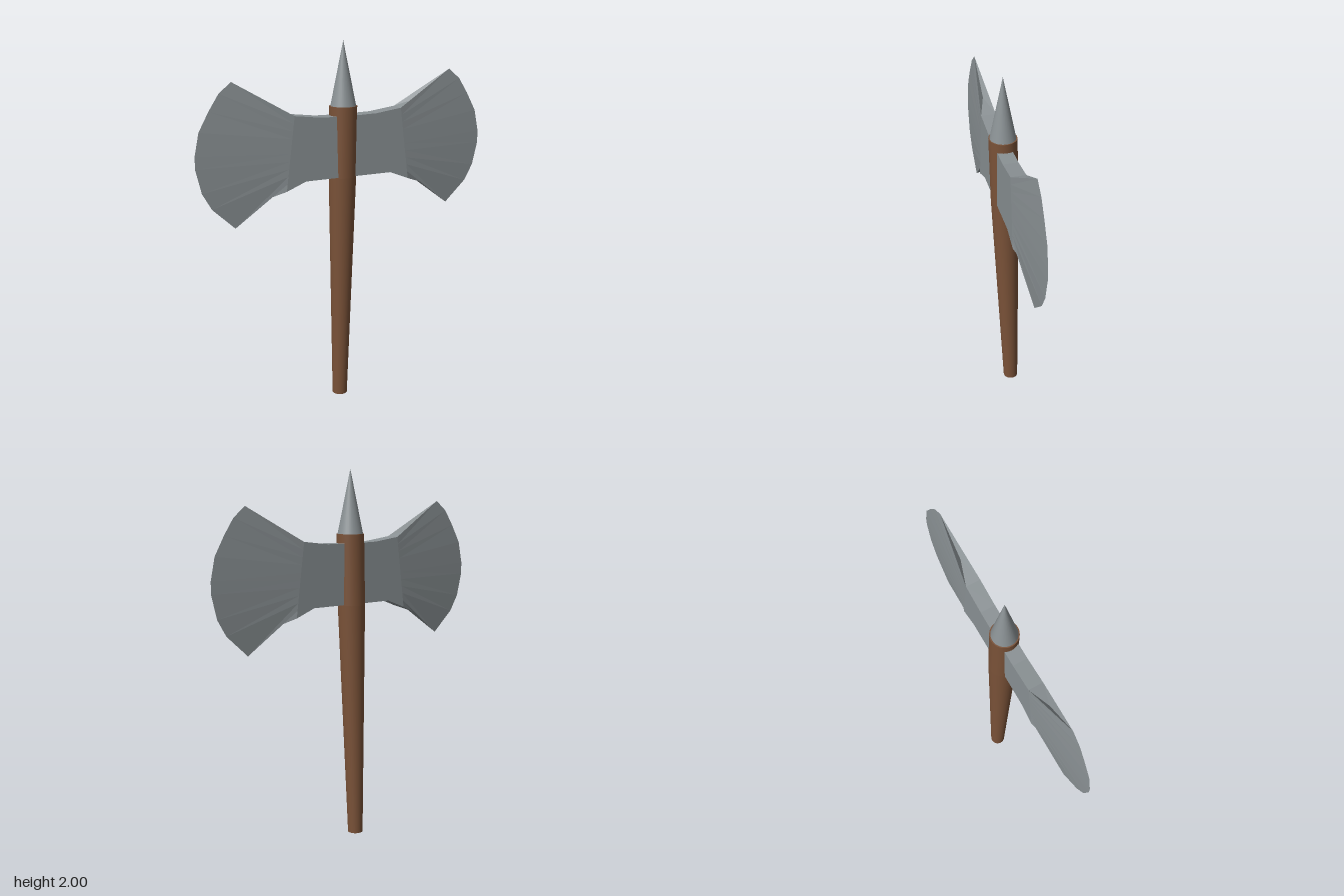
import * as THREE from 'three';

const wood = new THREE.MeshStandardMaterial({ color: 0x7a5238 });
wood.name = 'brownWood';
const metal = new THREE.MeshStandardMaterial({ color: 0x8b9295 });
metal.name = 'greyMetal';

// Round shaft segment between two heights whose centre line drifts in x and z
function leaningShaft(name, low, high, material) {
  const h = high.y - low.y;
  const geo = new THREE.CylinderGeometry(high.r, low.r, h, 32);
  const p = geo.attributes.position;
  for (let i = 0; i < p.count; i++) {
    const t = p.getY(i) / h + 0.5;
    p.setXYZ(i,
      p.getX(i) + THREE.MathUtils.lerp(low.x, high.x, t),
      low.y + h * t,
      p.getZ(i) + THREE.MathUtils.lerp(low.z, high.z, t));
  }
  const mesh = new THREE.Mesh(geo, material);
  mesh.name = name;
  return mesh;
}

// Blade half: a thick core plate that tapers to a sharp edge all round
const MID_Z = 0.01, HALF = 0.04;
const CORE_TOP = [[0, 1.61], [0.16, 1.613], [0.31, 1.632]];
const CORE_BOTTOM = [[0, 1.284], [0.25, 1.284], [0.36, 1.24]];
const EDGE = [
  [0.437, 1.67], [0.633, 1.82], [0.70, 1.765], [0.755, 1.68], [0.81, 1.58], [0.835, 1.46],
  [0.835, 1.395], [0.805, 1.268], [0.755, 1.18], [0.633, 1.066], [0.465, 1.20],
];

function bladeGeometry(side) {
  const out = [];
  const tri = (a, b, c) => {
    // mirrored triangles swap their winding to keep facing outwards
    for (const v of side > 0 ? [a, b, c] : [a, c, b]) out.push(v[0] * side, v[1], v[2]);
  };
  const at = ([x, y], dz) => [x, y, MID_Z + dz];
  const topEnd = CORE_TOP[2], bottomEnd = CORE_BOTTOM[2];
  const n = EDGE.length - 1;
  const inner = EDGE.map((_, i) => [
    THREE.MathUtils.lerp(topEnd[0], bottomEnd[0], i / n),
    THREE.MathUtils.lerp(topEnd[1], bottomEnd[1], i / n),
  ]);

  for (const s of [1, -1]) {
    const face = (a, b, c) => (s > 0 ? tri(a, b, c) : tri(a, c, b));
    // flat core
    for (let i = 0; i < 2; i++) {
      const a = at(CORE_TOP[i], s * HALF), b = at(CORE_TOP[i + 1], s * HALF);
      const c = at(CORE_BOTTOM[i], s * HALF), d = at(CORE_BOTTOM[i + 1], s * HALF);
      face(a, c, d);
      face(a, d, b);
    }
    // taper to the cutting edge
    for (let i = 0; i < n; i++) {
      const a = at(inner[i], s * HALF), b = at(inner[i + 1], s * HALF);
      const c = at(EDGE[i], 0), d = at(EDGE[i + 1], 0);
      face(a, b, d);
      face(a, d, c);
    }
  }

  // upper and lower rims, each closing to a point
  for (const [rim, tip, up] of [[CORE_TOP, EDGE[0], true], [CORE_BOTTOM, EDGE[n], false]]) {
    const face = (a, b, c) => (up ? tri(a, b, c) : tri(a, c, b));
    for (let i = 0; i < 2; i++) {
      const a = at(rim[i], HALF), b = at(rim[i + 1], HALF);
      const c = at(rim[i], -HALF), d = at(rim[i + 1], -HALF);
      face(a, b, d);
      face(a, d, c);
    }
    face(at(rim[2], HALF), at(tip, 0), at(rim[2], -HALF));
  }

  const geo = new THREE.BufferGeometry();
  geo.setAttribute('position', new THREE.Float32BufferAttribute(out, 3));
  geo.computeVertexNormals();
  return geo;
}

export function createModel() {
  const axe = new THREE.Group();
  axe.name = 'doubleAxe';

  // Handle: slender tapering grip and a straighter head section
  const foot = { x: -0.014, y: 0, z: -0.04, r: 0.041 };
  const neck = { x: -0.013, y: 1.28, z: -0.004, r: 0.074 };
  const crown = { x: -0.013, y: 1.66, z: 0.006, r: 0.074 };
  axe.add(leaningShaft('handleGrip', foot, neck, wood));
  axe.add(leaningShaft('handleHead', neck, crown, wood));

  // Spike on top
  const spike = new THREE.Mesh(new THREE.ConeGeometry(0.069, 0.345, 32), metal);
  spike.position.set(-0.013, 1.8275, 0.006);
  spike.name = 'topSpike';
  axe.add(spike);

  // Mirrored blades
  for (const [name, side] of [['leftBlade', 1], ['rightBlade', -1]]) {
    const blade = new THREE.Mesh(bladeGeometry(side), metal);
    blade.name = name;
    axe.add(blade);
  }
  return axe;
}
